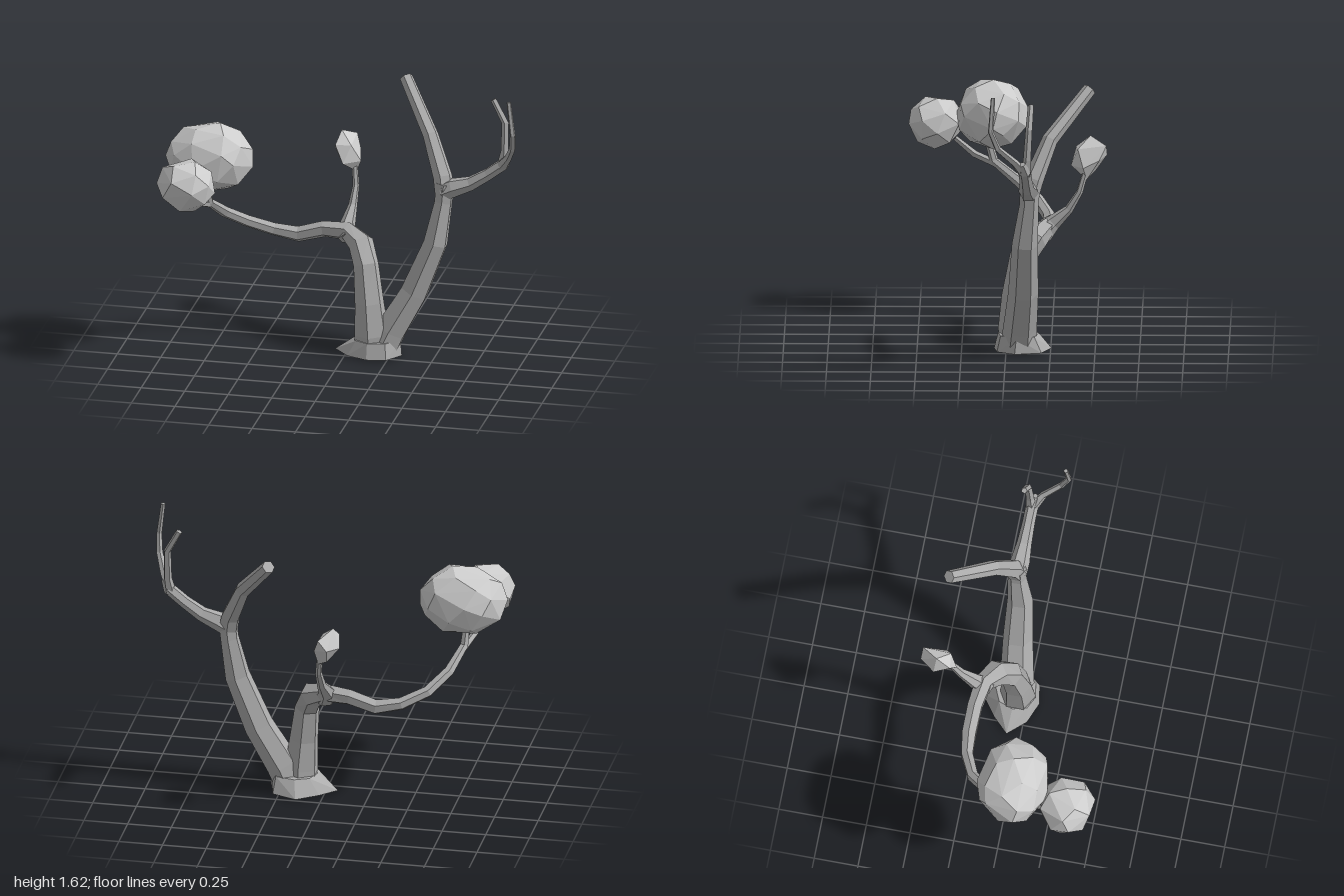
import * as THREE from 'three';
import { ConvexGeometry } from 'three/addons/geometries/ConvexGeometry.js';

const wood = new THREE.MeshStandardMaterial({ color: 0xacacac, flatShading: true });
wood.name = 'wood grey';
const leaf = new THREE.MeshStandardMaterial({ color: 0xcccccc, flatShading: true });
leaf.name = 'foliage grey';

// Faceted limb: rings carried along a path of [x, y, z, radius]
function limbGeometry(path, sides) {
  const pts = path.map((p) => new THREE.Vector3(p[0], p[1], p[2]));
  const n = pts.length;
  const pos = [];
  const index = [];
  const normal = new THREE.Vector3(0, 0, 1);
  pts.forEach((p, i) => {
    const t = new THREE.Vector3();
    if (i > 0) t.add(p.clone().sub(pts[i - 1]).normalize());
    if (i < n - 1) t.add(pts[i + 1].clone().sub(p).normalize());
    t.normalize();
    normal.addScaledVector(t, -normal.dot(t)).normalize();
    const side = new THREE.Vector3().crossVectors(t, normal);
    for (let k = 0; k < sides; k++) {
      const a = (k / sides) * Math.PI * 2;
      const v = p.clone()
        .addScaledVector(normal, Math.cos(a) * path[i][3])
        .addScaledVector(side, Math.sin(a) * path[i][3]);
      pos.push(v.x, v.y, v.z);
    }
  });
  for (let i = 0; i < n - 1; i++) {
    for (let k = 0; k < sides; k++) {
      const a = i * sides + k;
      const b = i * sides + ((k + 1) % sides);
      index.push(a, b, b + sides, a, b + sides, a + sides);
    }
  }
  // End caps
  const last = (n - 1) * sides;
  for (let k = 1; k < sides - 1; k++) {
    index.push(0, k + 1, k, last, last + k, last + k + 1);
  }
  const g = new THREE.BufferGeometry();
  g.setAttribute('position', new THREE.Float32BufferAttribute(pos, 3));
  g.setIndex(index);
  const flat = g.toNonIndexed();
  flat.computeVertexNormals();
  return flat;
}

// Rough faceted clump: hull of jittered sphere points, fitted to a box
function clumpGeometry(count, seed, min, max) {
  let s = seed;
  const rnd = () => {
    s = (s * 16807) % 2147483647;
    return s / 2147483647 - 0.5;
  };
  const pts = [];
  for (let i = 0; i < count; i++) {
    const y = 1 - (2 * (i + 0.5)) / count;
    const a = i * 2.39996 + rnd() * 0.4;
    const r = Math.sqrt(1 - y * y);
    pts.push(new THREE.Vector3(Math.cos(a) * r, y + rnd() * 0.1, Math.sin(a) * r));
  }
  const box = new THREE.Box3().setFromPoints(pts);
  const size = box.getSize(new THREE.Vector3());
  const lo = new THREE.Vector3(...min);
  const span = new THREE.Vector3(...max).sub(lo);
  pts.forEach((p) => p.sub(box.min).divide(size).multiply(span).add(lo));
  return new ConvexGeometry(pts);
}

export function createModel() {
  const tree = new THREE.Group();
  tree.name = 'tree';
  const add = (name, geometry, material) => {
    const m = new THREE.Mesh(geometry, material);
    m.name = name;
    tree.add(m);
  };

  // Flared root base
  const foot = [[-0.07, -0.08], [0.02, 0.02], [0.14, 0.068], [0.25, 0.05],
    [0.32, -0.05], [0.28, -0.2], [0.14, -0.255], [0.02, -0.17]];
  const collar = [[0.05, -0.07], [0.07, 0.01], [0.14, 0.045], [0.24, 0.03],
    [0.31, -0.06], [0.27, -0.16], [0.16, -0.185], [0.08, -0.15]];
  add('rootBase', new ConvexGeometry([
    ...foot.map(([x, z]) => new THREE.Vector3(x, 0, z)),
    ...collar.map(([x, z]) => new THREE.Vector3(x, 0.09, z)),
  ]), wood);

  // Limbs
  const limbs = {
    rightTrunk: [[0.145, 0.03, -0.06, 0.1], [0.145, 0.12, -0.055, 0.1], [0.13, 0.3, -0.06, 0.085],
      [0.105, 0.51, -0.09, 0.073], [0.06, 0.61, -0.16, 0.074], [-0.03, 0.655, -0.22, 0.055],
      [-0.17, 0.65, -0.24, 0.047], [-0.32, 0.605, -0.245, 0.045], [-0.46, 0.63, -0.23, 0.037],
      [-0.6, 0.69, -0.17, 0.034], [-0.7, 0.775, -0.06, 0.032], [-0.76, 0.88, 0.08, 0.026],
      [-0.77, 1.02, 0.12, 0.02]],
    leftTrunk: [[0.2, 0.03, -0.07, 0.1], [0.25, 0.14, -0.08, 0.095], [0.38, 0.37, -0.1, 0.085],
      [0.5, 0.67, -0.11, 0.073], [0.54, 0.91, -0.135, 0.054], [0.55, 1.02, -0.14, 0.056]],
    upperBranch: [[0.545, 0.96, -0.135, 0.055], [0.53, 1.05, -0.16, 0.056],
      [0.44, 1.26, -0.25, 0.045], [0.25, 1.51, -0.47, 0.038]],
    leftBranch: [[0.54, 0.97, -0.135, 0.055], [0.6, 1.0, -0.13, 0.055], [0.7, 1.035, -0.125, 0.042],
      [0.8, 1.1, -0.12, 0.036], [0.89, 1.17, -0.115, 0.036], [0.92, 1.22, -0.1, 0.02]],
    innerTwig: [[0.88, 1.15, -0.12, 0.032], [0.895, 1.24, -0.13, 0.024],
      [0.895, 1.41, -0.14, 0.021], [0.825, 1.54, -0.15, 0.018]],
    outerTwig: [[0.88, 1.16, -0.11, 0.032], [0.93, 1.23, -0.06, 0.022], [0.975, 1.32, 0.035, 0.019],
      [0.985, 1.42, 0.075, 0.016], [0.96, 1.61, 0.062, 0.013]],
    clumpStem: [[-0.755, 0.86, 0.06, 0.022], [-0.8, 0.91, 0.19, 0.021], [-0.81, 1.0, 0.3, 0.016]],
    budStem: [[-0.02, 0.62, -0.2, 0.06], [-0.04, 0.68, -0.26, 0.045], [-0.03, 0.76, -0.35, 0.026],
      [-0.025, 0.86, -0.41, 0.019], [-0.04, 0.98, -0.445, 0.017]],
  };
  for (const [name, path] of Object.entries(limbs)) {
    add(name, limbGeometry(path, path[0][3] > 0.05 ? 6 : 5), wood);
  }

  // Foliage
  add('largeFoliage', clumpGeometry(36, 7, [-1, 0.965, -0.11], [-0.505, 1.36, 0.295]), leaf);
  add('smallFoliage', clumpGeometry(22, 31, [-0.98, 0.945, 0.265], [-0.655, 1.235, 0.56]), leaf);

  // Bud: leaning stretched gem
  const bud = [[-0.12, 1.165, -0.47], [-0.05, 1.12, -0.56], [-0.1, 1.06, -0.565], [-0.16, 1.05, -0.48],
    [-0.14, 1.1, -0.39], [-0.05, 1.1, -0.4], [-0.02, 1.04, -0.52], [0, 1.0, -0.43],
    [-0.09, 1.0, -0.36], [-0.03, 0.93, -0.45], [-0.09, 0.97, -0.5]];
  add('bud', new ConvexGeometry(bud.map((p) => new THREE.Vector3(...p))), leaf);

  return tree;
}
